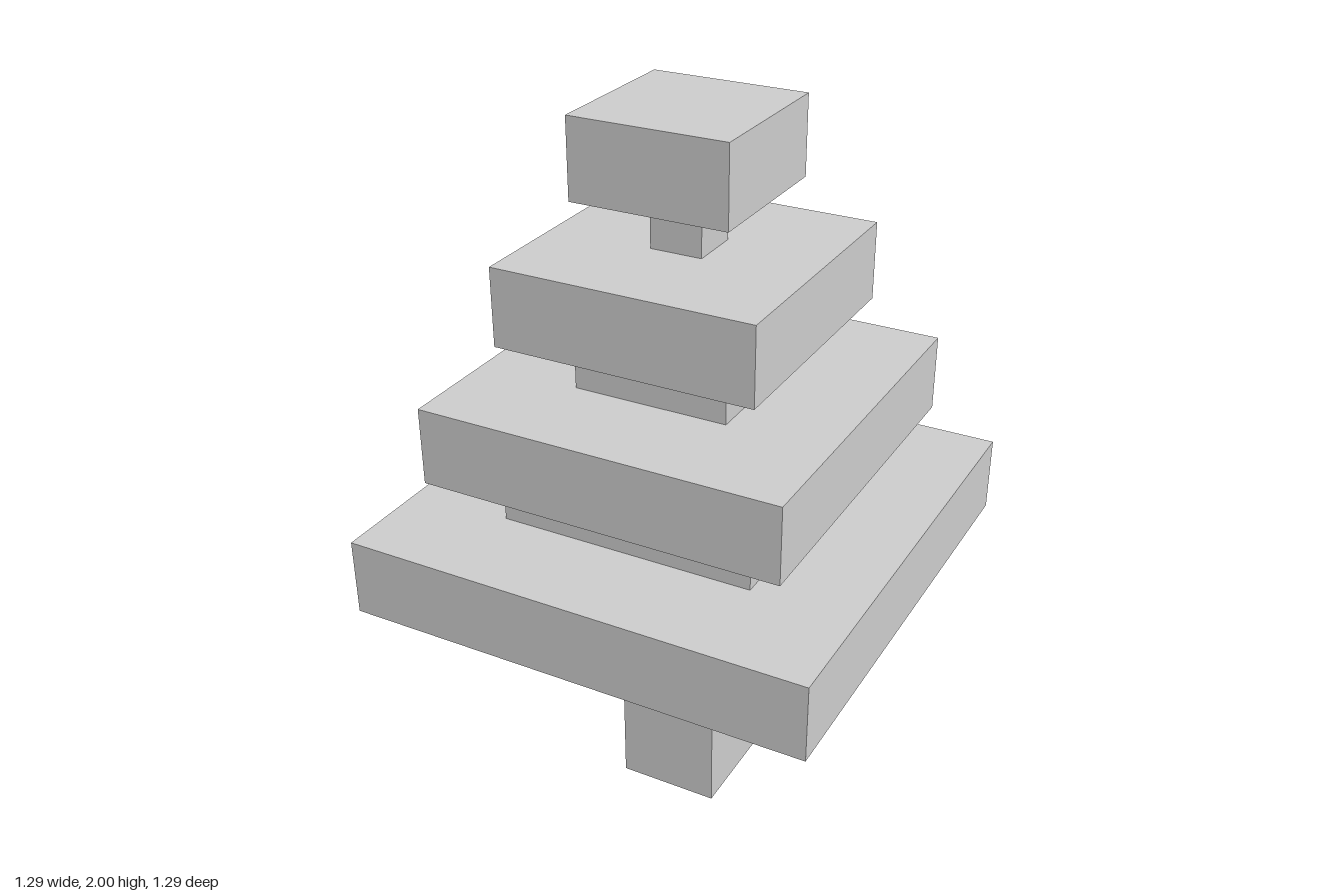
import * as THREE from 'three';

export function createModel() {
  const tree = new THREE.Group();
  tree.name = 'blockTree';
  const material = new THREE.MeshStandardMaterial({ color: 0xcccccc, flatShading: true });

  // Square block standing on the given height
  function addBlock(name, width, height, bottom, x = 0, z = 0) {
    const block = new THREE.Mesh(new THREE.BoxGeometry(width, height, width), material);
    block.name = name;
    block.position.set(x, bottom + height / 2, z);
    tree.add(block);
  }

  // Trunk, standing very slightly off centre
  const trunkHeight = 0.72;
  addBlock('trunk', 0.286, trunkHeight, 0, 0.002, -0.005);

  // Four shrinking foliage tiers with a narrower core between each pair
  const tierHeight = 0.2125, coreHeight = 0.1433;
  let y = trunkHeight;
  for (let i = 0; i < 4; i++) {
    const width = 1.286 - i * 0.2857;
    addBlock(`foliageTier${i + 1}`, width, tierHeight, y);
    y += tierHeight;
    if (i < 3) {
      addBlock(`foliageCore${i + 1}`, width - 0.5714, coreHeight, y);
      y += coreHeight;
    }
  }
  return tree;
}
